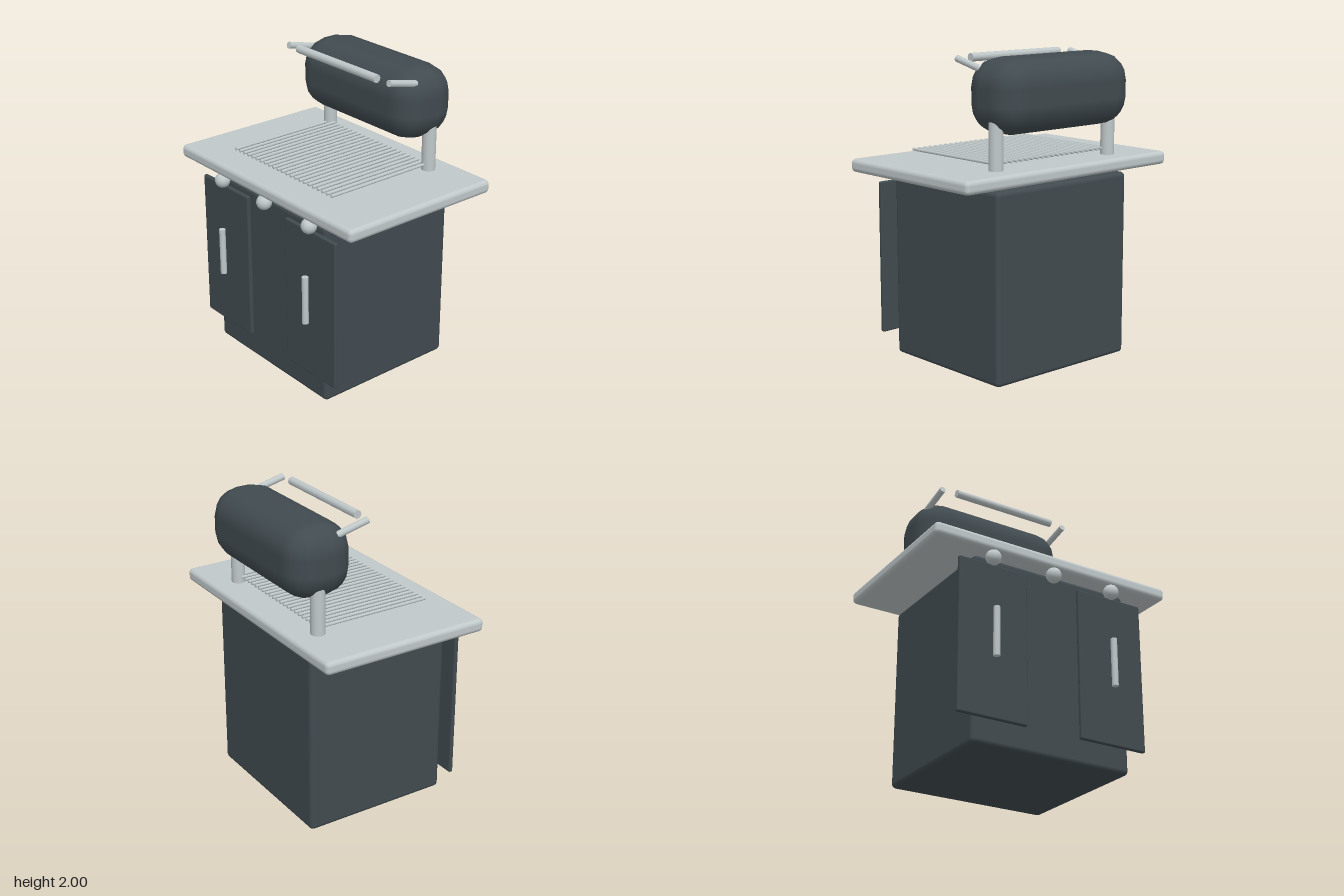
import * as THREE from 'three';
import { RoundedBoxGeometry } from 'three/addons/geometries/RoundedBoxGeometry.js';

export function createModel() {
  const group = new THREE.Group();
  const dark = new THREE.MeshStandardMaterial({ color: 0x414b50 });
  const steel = new THREE.MeshStandardMaterial({ color: 0xc0c8ca });

  function add(name, geometry, material, x, y, z) {
    const mesh = new THREE.Mesh(geometry, material);
    mesh.name = name;
    mesh.position.set(x, y, z);
    group.add(mesh);
    return mesh;
  }

  // Cylinder running between two points
  function rod(name, from, to, radius, sides) {
    const a = new THREE.Vector3(...from), b = new THREE.Vector3(...to);
    const mid = a.clone().add(b).multiplyScalar(0.5);
    const dir = b.clone().sub(a);
    const mesh = add(name, new THREE.CylinderGeometry(radius, radius, dir.length(), sides), steel, mid.x, mid.y, mid.z);
    mesh.quaternion.setFromUnitVectors(new THREE.Vector3(0, 1, 0), dir.normalize());
    return mesh;
  }

  // Cabinet and worktop
  add('cabinet', new RoundedBoxGeometry(1.112, 1.212, 1.002, 3, 0.03), dark, 0, 0.606, 0);
  add('worktop', new RoundedBoxGeometry(1.712, 0.086, 1.142, 3, 0.03), steel, 0, 1.282, -0.005);

  // Doors, door handles, lid posts and lid handle arms on both sides
  for (const side of [-1, 1]) {
    add('door', new RoundedBoxGeometry(0.48, 1, 0.03, 2, 0.01), dark, side * 0.43, 0.66, 0.51);
    rod('doorHandle', [side * 0.43, 0.54, 0.56], [side * 0.43, 0.86, 0.56], 0.021, 12);
    rod('lidPost', [side * 0.48, 1.3, -0.4], [side * 0.48, 1.66, -0.4], 0.045, 20);
    rod('lidHandleArm', [side * 0.48, 1.972, -0.05], [side * 0.48, 1.92, -0.27], 0.022, 10);
  }

  // Control knobs
  for (const x of [-0.44, 0, 0.44]) {
    add('knob', new THREE.SphereGeometry(0.05, 20, 14), steel, x, 1.2, 0.535);
  }

  // Cooking grate
  const bars = 23;
  for (let i = 0; i < bars; i++) {
    const x = -0.48 + (0.96 * i) / (bars - 1);
    rod('grateBar', [x, 1.365, -0.4], [x, 1.365, 0.395], 0.01, 8);
  }

  // Lid and its front handle bar
  add('lid', new RoundedBoxGeometry(1.1, 0.465, 0.445, 2, 0.18), dark, 0, 1.7625, -0.3675);
  rod('lidHandleBar', [-0.375, 1.973, -0.05], [0.375, 1.973, -0.05], 0.027, 10);

  return group;
}
